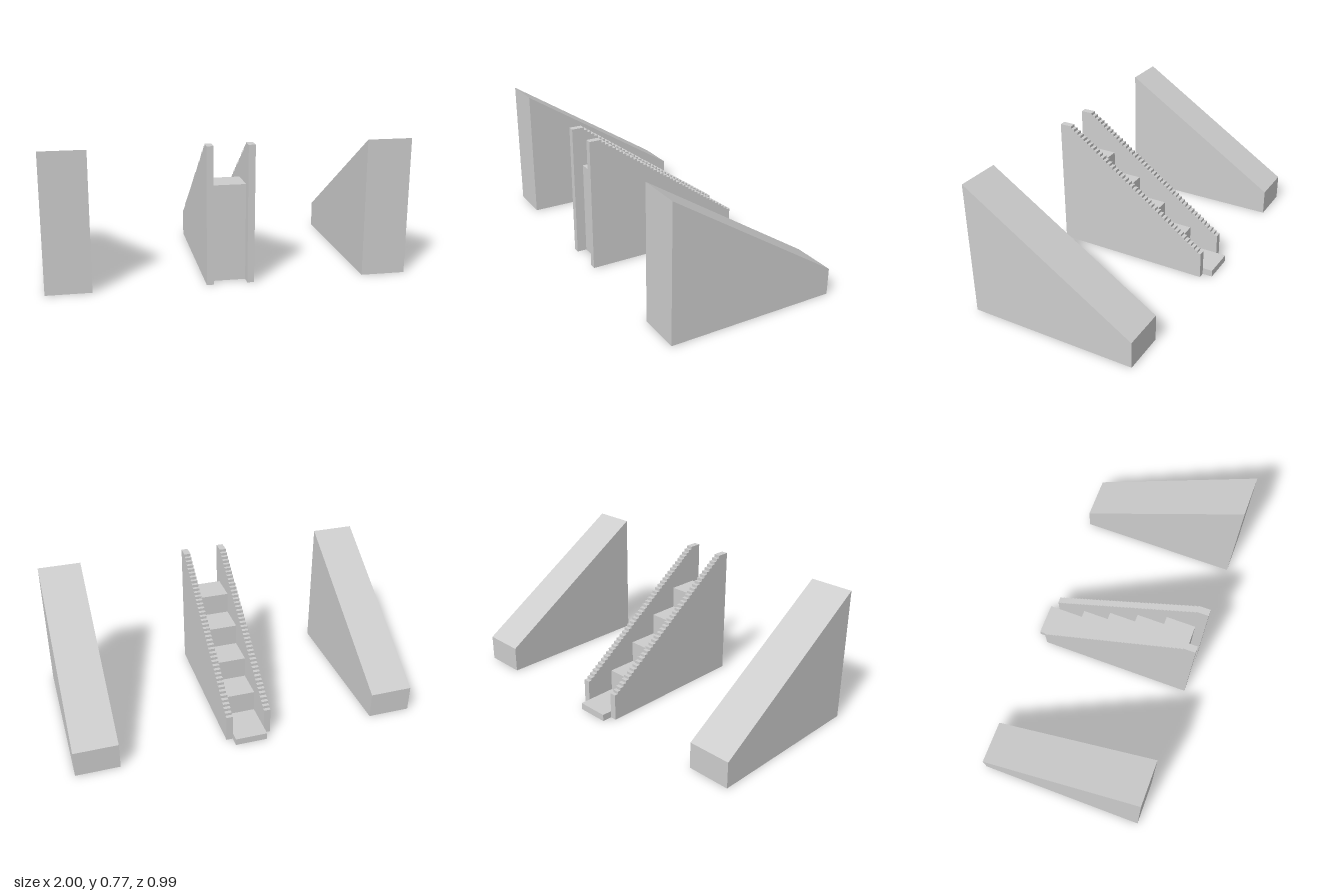
import * as THREE from 'three';

const stone = new THREE.MeshStandardMaterial({ color: 0xcccccc });
stone.name = 'light grey stone';

// Extrudes a side profile of [z, y] points from x0 to x1
function profileMesh(name, points, x0, x1) {
  const shape = new THREE.Shape(points.map(([z, y]) => new THREE.Vector2(z, y)));
  const geometry = new THREE.ExtrudeGeometry(shape, { depth: x1 - x0, bevelEnabled: false });
  geometry.rotateY(-Math.PI / 2).translate(x1, 0, 0);
  const mesh = new THREE.Mesh(geometry, stone);
  mesh.name = name;
  return mesh;
}

export function createModel() {
  const model = new THREE.Group();
  model.name = 'staircaseWithRamps';

  // Wide smooth ramps on both sides
  const ramp = [[-0.48, 0], [0.493, 0], [0.493, 0.775], [-0.48, 0.153]];
  model.add(profileMesh('leftRamp', ramp, 0.75, 1));
  model.add(profileMesh('rightRamp', ramp, -1, -0.75));

  // Five large steps rising towards the front
  const edges = [-0.495, -0.26, -0.085, 0.09, 0.265, 0.437];
  const steps = [[edges[5], 0], [edges[0], 0]];
  for (let i = 0; i < 5; i++) {
    const y = 0.04 + i * 0.126;
    steps.push([edges[i], y], [edges[i + 1], y]);
  }
  model.add(profileMesh('steps', steps.reverse(), -0.096, 0.091));

  // Side walls with a finely stepped top edge
  const wall = [[-0.436, 0], [0.493, 0], [0.493, 0.77]];
  const count = 40, run = 0.02145, rise = 0.0153;
  for (let i = 0; i < count; i++) {
    const z = 0.422 - i * run;
    wall.push([z, 0.77 - i * rise], [z, 0.77 - (i + 1) * rise]);
  }
  wall.push([-0.436, 0.77 - count * rise]);
  model.add(profileMesh('leftWall', wall, 0.091, 0.129));
  model.add(profileMesh('rightWall', wall, -0.134, -0.096));

  return model;
}
